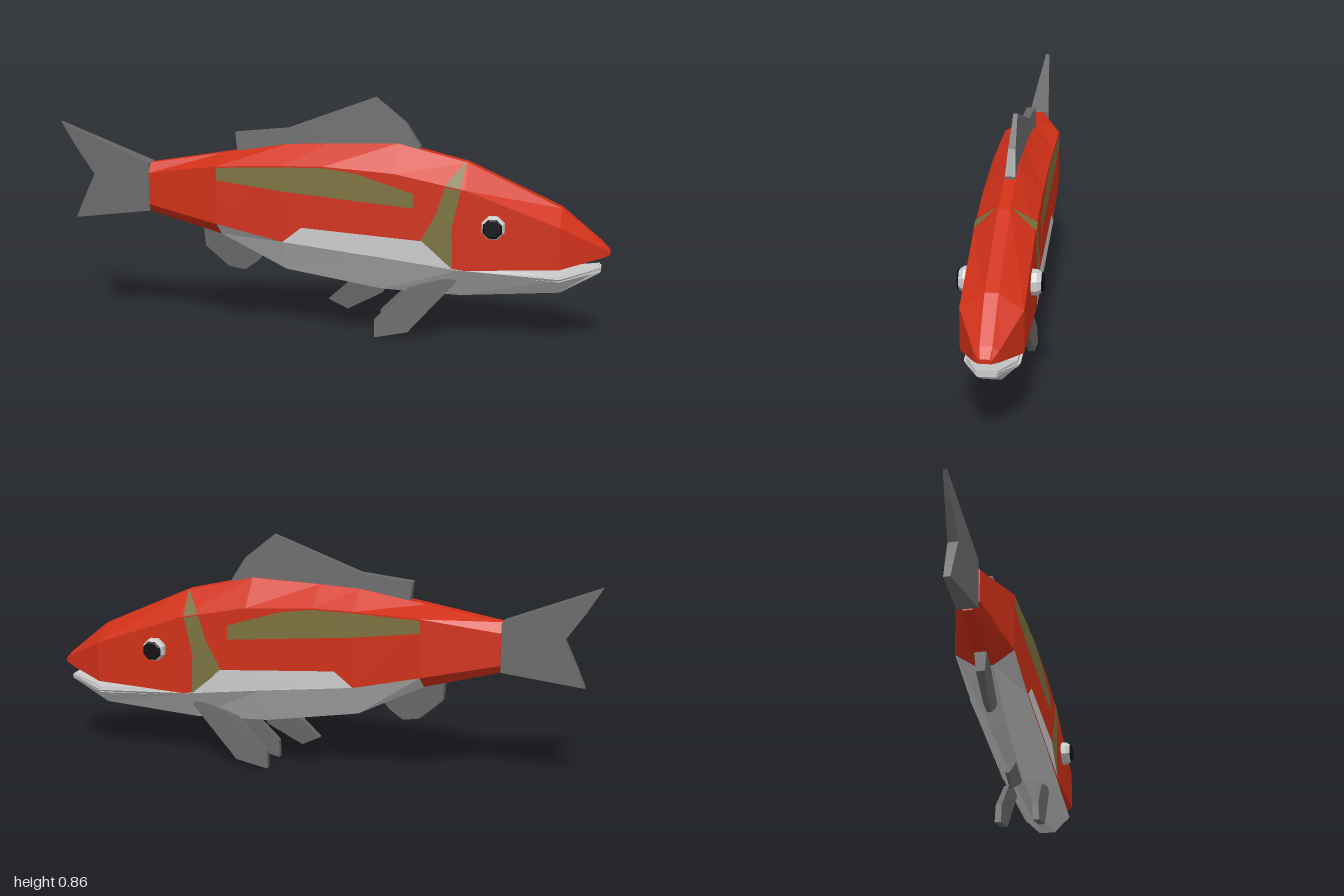
import * as THREE from 'three';

const mat = (color) => new THREE.MeshStandardMaterial({ color, flatShading: true, side: THREE.DoubleSide });
const red = mat(0xd03018), olive = mat(0x7c7240), grey = mat(0xcccccc), finGrey = mat(0x6a6a6a), black = mat(0x101010);

function add(parent, name, geometry, material) {
  const mesh = new THREE.Mesh(geometry, material);
  mesh.name = name;
  parent.add(mesh);
  return mesh;
}

// Solid through mirrored cross-sections: each station is [x, [y, z], [y, z], ...] from top to bottom
function loft(stations) {
  const pos = [], index = [];
  const n = (stations[0].length - 1) * 2;
  for (const [x, ...half] of stations) {
    const ring = [...half, ...half.map(([y, z]) => [y, -z]).reverse()];
    for (const [y, z] of ring) pos.push(x, y, z);
  }
  const last = (stations.length - 1) * n;
  for (let i = 0; i < last; i += n) {
    for (let j = 0; j < n; j++) {
      const k = (j + 1) % n;
      const a = i + j, d = i + k, b = a + n, c = d + n;
      index.push(a, d, b, b, d, c);
    }
  }
  for (let j = 1; j < n - 1; j++) {
    index.push(0, j + 1, j, last, last + j, last + j + 1);
  }
  const g = new THREE.BufferGeometry();
  g.setAttribute('position', new THREE.Float32BufferAttribute(pos, 3));
  g.setIndex(index);
  const flat = g.toNonIndexed();
  flat.computeVertexNormals();
  return flat;
}

const outline = (pts) => new THREE.Shape(pts.map(([x, y]) => new THREE.Vector2(x, y)));

// Fin from a side outline, with half thickness and centre offset given by rules
function fin(pts, halfThickness, centre = () => 0) {
  const g = new THREE.ExtrudeGeometry(outline(pts), { depth: 2, bevelEnabled: false });
  const p = g.attributes.position;
  for (let i = 0; i < p.count; i++) {
    const x = p.getX(i), y = p.getY(i);
    p.setZ(i, (p.getZ(i) - 1) * halfThickness(x, y) + centre(x, y));
  }
  g.computeVertexNormals();
  return g;
}

const lerp = THREE.MathUtils.mapLinear;

export function createModel() {
  const fish = new THREE.Group();
  fish.name = 'fish';
  const W = 0.102;

  // Back, flanks and upper head: ridge, shoulder and lower edge
  add(fish, 'upperBody', loft([
    [-0.66, [0.6, 0.015], [0.565, 0.04], [0.45, 0.04]],
    [-0.39, [0.645, 0.02], [0.61, W], [0.40, W]],
    [-0.15, [0.685, 0.02], [0.62, W], [0.345, W]],
    [0.0, [0.692, 0.02], [0.622, W], [0.33, W]],
    [0.25, [0.7, 0.02], [0.605, W], [0.3, W]],
    [0.5, [0.64, 0.02], [0.555, W], [0.27, W]],
    [0.83, [0.49, 0.022], [0.435, W], [0.288, W]],
    [0.97, [0.375, 0.02], [0.36, 0.04], [0.322, 0.04]],
    [1.0, [0.345, 0.015], [0.34, 0.02], [0.33, 0.02]],
  ]), red);

  // Underside of the tail root, belly and lower jaw
  add(fish, 'tailUnderside', loft([
    [-0.66, [0.45, 0.04], [0.42, 0.015]],
    [-0.39, [0.40, W], [0.35, 0.03]],
  ]), red);
  add(fish, 'bellyAndLowerJaw', loft([
    [-0.39, [0.40, W], [0.35, 0.03]],
    [-0.15, [0.345, W], [0.23, 0.03]],
    [0.2, [0.305, W], [0.17, 0.018]],
    [0.48, [0.27, 0.1], [0.16, 0.016]],
    [0.83, [0.25, 0.09], [0.19, 0.03]],
    [0.97, [0.285, 0.035], [0.27, 0.03]],
  ]), grey);

  // Pale lip running along the top of the lower jaw
  add(fish, 'lowerLip', loft([
    [0.47, [0.278, 0.085], [0.262, 0.09]],
    [0.83, [0.262, 0.08], [0.24, 0.084]],
    [0.965, [0.29, 0.034], [0.272, 0.034]],
  ]), grey);

  // Fins on the centre line
  add(fish, 'dorsalFin', fin(
    [[-0.33, 0.64], [-0.34, 0.72], [-0.15, 0.74], [0.17, 0.86], [0.28, 0.77], [0.33, 0.69], [0.33, 0.66]],
    (x, y) => lerp(y, 0.64, 0.86, 0.021, 0.007)), finGrey);
  add(fish, 'tailFin', fin(
    [[-0.66, 0.6], [-1, 0.74], [-0.945, 0.65], [-0.875, 0.55], [-0.92, 0.455], [-0.95, 0.385], [-0.66, 0.425]],
    (x) => lerp(x, -1, -0.66, 0.007, 0.036)), finGrey);
  add(fish, 'analFin', fin(
    [[-0.38, 0.41], [-0.46, 0.37], [-0.455, 0.3], [-0.37, 0.225], [-0.31, 0.215], [-0.26, 0.25], [-0.22, 0.3]],
    (x, y) => lerp(y, 0.215, 0.41, 0.008, 0.025)), finGrey);
  add(fish, 'pelvicFin', fin(
    [[0.09, 0.2], [0, 0.12], [0.07, 0.085], [0.2, 0.155], [0.22, 0.2]],
    (x, y) => lerp(y, 0.085, 0.2, 0.003, 0.018)), finGrey);

  // Paired fins, eyes and flank markings
  for (const side of [1, -1]) {
    const label = side > 0 ? 'front' : 'back';
    const z = side * (W + 0.002);

    add(fish, label + 'PectoralFin', fin(
      [[0.46, 0.24], [0.3, 0.19], [0.18, 0.07], [0.18, 0.005], [0.3, 0.03], [0.47, 0.22]],
      (x, y) => lerp(y, 0, 0.24, 0.012, 0.008),
      (x, y) => side * lerp(y, 0, 0.24, 0.07, 0.06)), finGrey);

    const patch = (name, pts, material) =>
      add(fish, label + name, new THREE.ShapeGeometry(outline(pts)), material).position.z = z;
    patch('FlankStripe', [[-0.39, 0.605], [-0.39, 0.56], [-0.15, 0.528], [0.32, 0.485],
      [0.32, 0.537], [0.12, 0.6], [0, 0.617], [-0.15, 0.615]], olive);
    patch('BellyPanel', [[-0.15, 0.345], [-0.08, 0.4], [0.35, 0.37], [0.46, 0.274], [0.25, 0.3], [0, 0.33]], grey);
    patch('GillBand', [[0.43, 0.565], [0.4, 0.47], [0.345, 0.37], [0.46, 0.273], [0.455, 0.42], [0.485, 0.555]], olive);

    const tip = new THREE.BufferGeometry().setFromPoints([
      new THREE.Vector3(0.43, 0.571, z),
      new THREE.Vector3(0.485, 0.561, z),
      new THREE.Vector3(0.495, 0.645, side * 0.022),
    ]);
    if (side < 0) tip.setIndex([0, 2, 1]);
    tip.computeVertexNormals();
    add(fish, label + 'GillBandTip', tip, olive);

    const eye = new THREE.Group();
    eye.name = label + 'Eye';
    eye.position.set(0.6, 0.43, side * 0.1);
    eye.rotation.x = side * Math.PI / 2;
    const steps = [['eyeBase', 0.043, 0.043, 0.02, 0.01, grey], ['eyeRim', 0.031, 0.043, 0.018, 0.029, grey],
      ['pupil', 0.03, 0.036, 0.006, 0.038, black]];
    for (const [name, top, bottom, h, y, m] of steps) {
      add(eye, name, new THREE.CylinderGeometry(top, bottom, h, 8).rotateY(Math.PI / 8), m).position.y = y;
    }
    fish.add(eye);
  }
  return fish;
}
